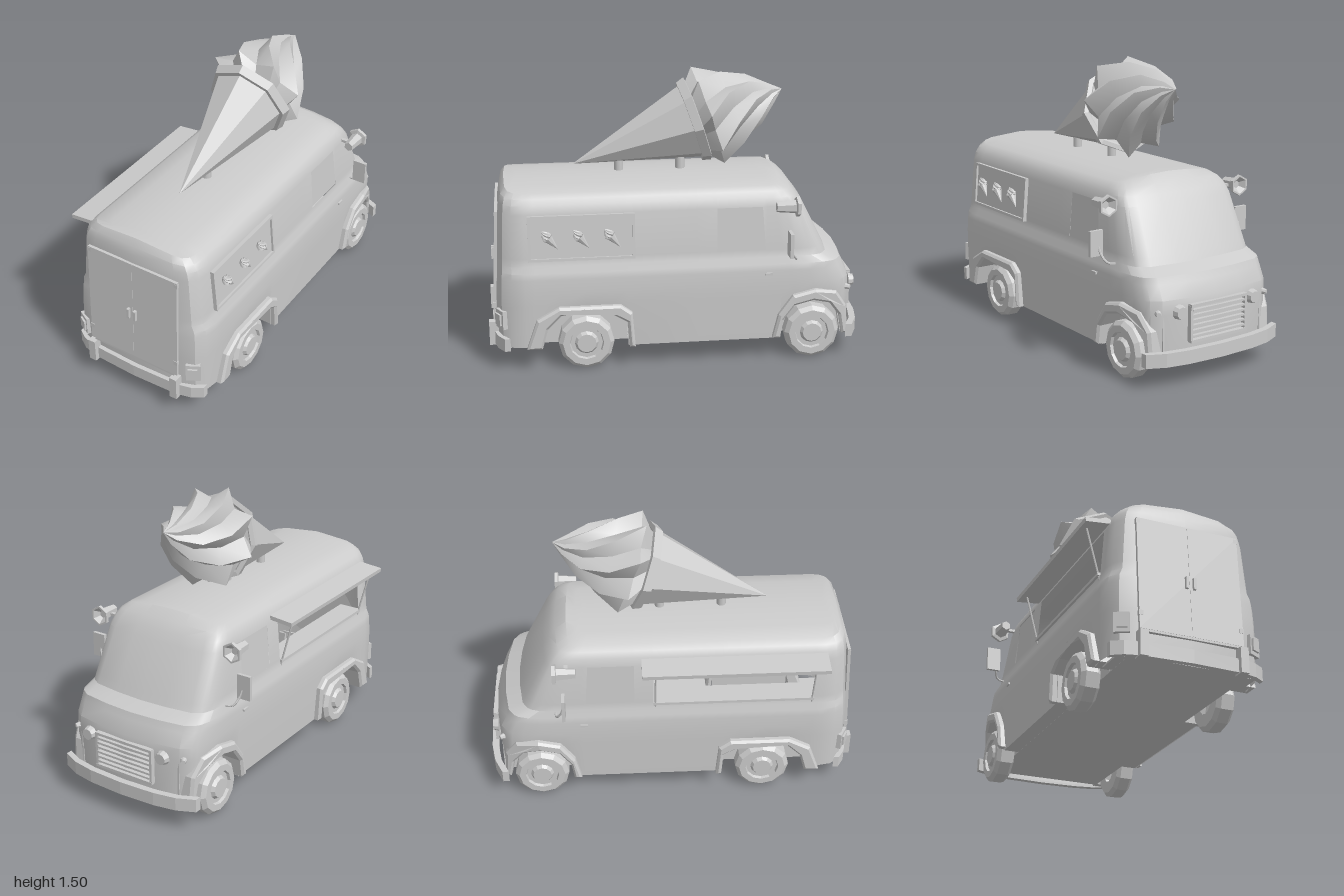
import * as THREE from 'three';
import { toCreasedNormals } from 'three/addons/utils/BufferGeometryUtils.js';

const mat = new THREE.MeshStandardMaterial({ color: 0xcccccc, side: THREE.DoubleSide });
const flat = new THREE.MeshStandardMaterial({ color: 0xcccccc, flatShading: true, side: THREE.DoubleSide });

function add(parent, name, geo, x = 0, y = 0, z = 0, material = flat) {
  const m = new THREE.Mesh(geo, material);
  m.name = name;
  m.position.set(x, y, z);
  parent.add(m);
  return m;
}
const box = (w, h, d) => new THREE.BoxGeometry(w, h, d);

// Build triangles from rows of points; skip(row, col) leaves an opening
function loft(rows, skip = () => false) {
  const pos = [];
  for (let j = 0; j < rows.length - 1; j++) {
    const n = rows[j].length;
    for (let i = 0; i < n; i++) {
      if (skip(j, i)) continue;
      const k = (i + 1) % n;
      const a = rows[j][i], b = rows[j][k], c = rows[j + 1][k], d = rows[j + 1][i];
      pos.push(...a, ...b, ...c, ...a, ...c, ...d);
    }
  }
  const g = new THREE.BufferGeometry();
  g.setAttribute('position', new THREE.Float32BufferAttribute(pos, 3));
  g.computeVertexNormals();
  return g;
}

// Half plan of the body from rear to cab: width fraction, z, lower edge
const plan = [
  [0, .955, .13], [.7, .945, .13], [.88, .92, .13], [.97, .87, .13], [1, .8, .13], [1, .75, .12],
  [1, .7, .25], [1, .62, .32], [1, .49, .34], [1, .36, .32], [1, .28, .27], [1, .27, .12],
  [1, -.1, .12], [1, -.2, .12], [1, -.48, .12], [1, -.53, .12], [1, -.54, .24], [1, -.61, .32],
  [1, -.71, .34], [.98, -.8, .32], [.94, -.86, .24], [.9, -.885, .12], [.78, -.92, .12], [.4, -.945, .12], [0, -.955, .12],
];
// Body levels: height, half width, front z, rear z, roof crown
const levels = [
  [0, .395, -.945, .955, 0], [.36, .4, -.955, .96, 0], [.43, .4, -.95, .957, 0], [.5, .396, -.915, .953, 0],
  [.535, .392, -.9, .95, 0], [.57, .375, -.82, .948, 0], [.61, .371, -.8, .945, 0], [.84, .352, -.68, .932, 0],
  [.885, .34, -.645, .927, 0], [.912, .32, -.61, .918, .02], [.925, .29, -.55, .895, .045],
  [.925, .2, -.5, .87, .045], [.925, .1, -.48, .85, .045], [.925, 0, -.46, .83, .045],
];

function bodyGeometry() {
  const ring = plan.map(p => [p[0], p[1], p[2]]);
  for (let i = plan.length - 2; i > 0; i--) ring.push([-plan[i][0], plan[i][1], plan[i][2]]);
  const rows = levels.map(([y, w, f, r, crown]) => ring.map(([fx, z, low]) => {
    const x = fx * w;
    const zz = z < -.4 ? -.4 + (z + .4) * (f + .4) / -.555 : z > .8 ? .8 + (z - .8) * (r - .8) / .155 : z;
    return [x, y === 0 ? low : y + crown * (1 - (x / .34) ** 2), zz];
  }));
  const n = ring.length;
  const skip = (j, i) => {
    if (j !== 6) return false;
    const z = (ring[i][1] + ring[(i + 1) % n][1]) / 2;
    const cabWindow = z < -.2 && z > -.48;
    const hatch = i >= plan.length - 1 && z > -.1 && z < .75;
    return cabWindow || hatch;
  };
  return toCreasedNormals(loft(rows, skip), .5);
}

// Cone with rim and twisted cream, tip at the origin, pointing along +y
function iceCream() {
  const g = new THREE.Group();
  add(g, 'wafer', new THREE.CylinderGeometry(.215, .002, .69, 8), 0, .345);
  const rim = [[.2, .655], [.225, .655], [.24, .7], [.215, .705], [.2, .69]].map(p => new THREE.Vector2(...p));
  add(g, 'coneRim', new THREE.LatheGeometry(rim, 8));
  const rows = [[0, .2], [.07, .272], [.2, .215], [.33, .14], [.43, .055], [.49, 0]].map(([t, r]) => {
    const pts = [];
    for (let i = 0; i < 16; i++) {
      const a = -i * Math.PI / 8 + t * 3, q = r * (i % 2 ? .74 : 1);
      pts.push([q * Math.cos(a), .69 + t, q * Math.sin(a)]);
    }
    return pts;
  });
  add(g, 'creamSwirl', toCreasedNormals(loft(rows), .5), 0, 0, 0, mat);
  return g;
}

// Flared wheel arch given as outer and inner (z, y) lines
function archGeometry(outer, inner) {
  const pts = [...outer, ...inner.slice().reverse()].map(([z, y]) => new THREE.Vector2(-z, y));
  const g = new THREE.ExtrudeGeometry(new THREE.Shape(pts), {
    depth: .108, bevelEnabled: true, bevelSize: .012, bevelOffset: -.012, bevelThickness: .012, bevelSegments: 1,
  });
  g.rotateY(Math.PI / 2).translate(.312, 0, 0);
  const p = g.attributes.position;
  for (let i = 0; i < p.count; i++) {
    const z = p.getZ(i);
    if (z < -.75 && p.getX(i) > .4) p.setX(i, p.getX(i) + (z + .75) * .35);
  }
  g.computeVertexNormals();
  return g;
}

// Bar bowed in plan along a half line of (x, z) points
function bumperGeometry(half, thick, height) {
  const line = [...half.slice(1).reverse().map(([x, z]) => [-x, z]), ...half];
  const back = line.slice().reverse().map(([x, z]) => [x, z + thick]);
  const s = new THREE.Shape([...line, ...back].map(([x, z]) => new THREE.Vector2(x, -z)));
  return new THREE.ExtrudeGeometry(s, { depth: height, bevelEnabled: false }).rotateX(-Math.PI / 2);
}

function tube(pts, r) {
  const path = new THREE.CatmullRomCurve3(pts.map(p => new THREE.Vector3(...p)));
  return new THREE.TubeGeometry(path, 8, r, 6);
}

export function createModel() {
  const van = new THREE.Group();
  van.name = 'iceCreamVan';
  add(van, 'body', bodyGeometry(), 0, 0, 0, mat);

  // Floor
  add(van, 'floor', box(.62, .01, 1.83), 0, .125, .02);
  add(van, 'midFloor', box(.78, .01, .79), 0, .126, -.13);
  add(van, 'rearFloor', box(.72, .01, .16), 0, .126, .83);

  // Parts found on both sides
  const tyre = [[.06, -.05], [.125, -.05], [.146, -.03], [.146, .03], [.125, .05], [.09, .05], [.085, .035], [0, .035]];
  for (const s of [1, -1]) {
    const side = new THREE.Group();
    side.name = s > 0 ? 'leftSide' : 'rightSide';
    side.scale.x = s;
    van.add(side);
    add(side, 'rearArch', archGeometry(
      [[.8, .13], [.745, .29], [.63, .355], [.31, .355], [.25, .31], [.235, .12]],
      [[.72, .13], [.69, .24], [.62, .31], [.49, .335], [.36, .31], [.275, .26], [.265, .12]]));
    add(side, 'frontArch', archGeometry(
      [[-.495, .13], [-.525, .26], [-.6, .365], [-.72, .395], [-.84, .37], [-.9, .28], [-.915, .12]],
      [[-.535, .13], [-.55, .23], [-.61, .31], [-.71, .335], [-.8, .31], [-.86, .23], [-.88, .12]]));
    for (const z of [.49, -.71]) {
      add(side, 'wheelWell', box(.01, .23, .44), .305, .235, z > 0 ? z : z + .01);
      const wheel = add(side, 'wheel', new THREE.LatheGeometry(tyre.map(p => new THREE.Vector2(...p)), 12), .36, .147, z);
      wheel.rotation.z = -Math.PI / 2;
      const hub = add(side, 'hubCap', new THREE.CylinderGeometry(.05, .065, .02, 12), .402, .147, z);
      hub.rotation.z = -Math.PI / 2;
    }
    // Cab window pane and door handle
    add(side, 'cabWindow', box(.006, .25, .29), .347, .725, -.33).rotation.z = .082;
    add(side, 'doorHandle', box(.012, .012, .04), .4, .485, -.47);
    // Roof horn with a flared mouth
    const horn = [[0, .03], [.02, .03], [.045, 0], [.055, 0], [.055, .018], [.035, .022], [.026, .12], [0, .12]];
    add(side, 'horn', new THREE.LatheGeometry(horn.map(p => new THREE.Vector2(...p)), 6), .415, .855, -.62).rotation.x = Math.PI / 2;
    add(side, 'hornBracket', box(.08, .015, .02), .36, .85, -.55);
    // Wing mirror
    add(side, 'mirror', box(.075, .13, .018), .46, .665, -.57);
    add(side, 'mirrorArm', tube([[.37, .56, -.62], [.42, .57, -.61], [.44, .61, -.585], [.45, .65, -.575]], .006));
    // Lamps
    const lamp = add(side, 'headlight', new THREE.CylinderGeometry(.03, .038, .03, 10), .23, .37, -.953);
    lamp.rotation.set(-Math.PI / 2, 0, 0);
    const signal = add(side, 'indicator', new THREE.CylinderGeometry(.012, .018, .025, 8), .335, .37, -.915);
    signal.rotation.set(-Math.PI / 2, 0, -.5);
    add(side, 'tailLight', box(.075, .1, .03), .34, .28, .925).rotation.y = .5;
    add(side, 'tailLightLens', box(.05, .06, .02), .345, .28, .94).rotation.y = .5;
    // Rear door fittings
    add(side, 'rearOverrider', box(.042, .13, .06), .258, .173, .965);
    add(side, 'doorGrip', box(.014, .06, .02), .02, .53, .965);
    for (const [y, z] of [[.33, .962], [.82, .938]]) add(side, 'hinge', box(.022, .025, .016), .262, y, z);
  }

  // Rear doors
  add(van, 'rearDoors', box(.54, .59, .016), 0, .545, .95).rotation.x = -.045;
  add(van, 'doorSeam', box(.004, .58, .018), 0, .545, .951).rotation.x = -.045;
  add(van, 'rearStep', box(.5, .012, .03), 0, .245, .955);

  // Bumpers
  add(van, 'frontBumper', bumperGeometry([[0, -1], [.2, -.99], [.32, -.968], [.415, -.925]], .035, .07), 0, .115);
  add(van, 'rearBumper', bumperGeometry([[0, .95], [.26, .94], [.34, .92], [.395, .885]], .03, .07), 0, .115);

  // Grille
  const grille = new THREE.Group();
  grille.name = 'grille';
  van.add(grille);
  for (const y of [.215, .395]) add(grille, 'grilleRail', box(.35, .014, .025), 0, y, -.957);
  for (const x of [-.17, .17]) add(grille, 'grilleEnd', box(.014, .18, .025), x, .305, -.955);
  for (let i = 0; i < 6; i++) add(grille, 'grilleSlat', box(.33, .01, .02), 0, .24 + i * .026, -.958);

  // Serving hatch: counter, awning and struts
  add(van, 'counter', box(.13, .015, .85), -.32, .605, .325);
  add(van, 'awning', box(.135, .022, .97), -.407, .86, .325).rotation.z = .1;
  for (const z of [-.09, .74]) add(van, 'awningStrut', tube([[-.44, .845, z], [-.405, .71, z], [-.37, .575, z]], .005));

  // Menu board with small cones
  const board = new THREE.Group();
  board.name = 'menuBoard';
  board.position.set(.364, .718, .505);
  board.rotation.z = .08;
  van.add(board);
  add(board, 'panel', box(.014, .22, .53));
  for (const y of [-.112, .112]) add(board, 'frameRail', box(.03, .014, .55), .004, y, 0);
  for (const z of [-.268, .268]) add(board, 'frameEnd', box(.03, .238, .014), .004, 0, z);
  for (const z of [-.16, 0, .16]) {
    const c = iceCream();
    c.name = 'menuCone';
    c.scale.setScalar(.11);
    c.position.set(.022, -.055, z - .04);
    c.rotation.x = .7;
    board.add(c);
  }

  // Roof cone and its posts
  const cone = iceCream();
  cone.name = 'roofCone';
  cone.position.set(0, 1.01, .52);
  cone.rotation.x = -Math.PI / 2 + .325;
  van.add(cone);
  for (const z of [.28, -.05]) add(van, 'roofPost', new THREE.CylinderGeometry(.025, .025, .09, 10), 0, 1.0, z, mat);
  return van;
}
